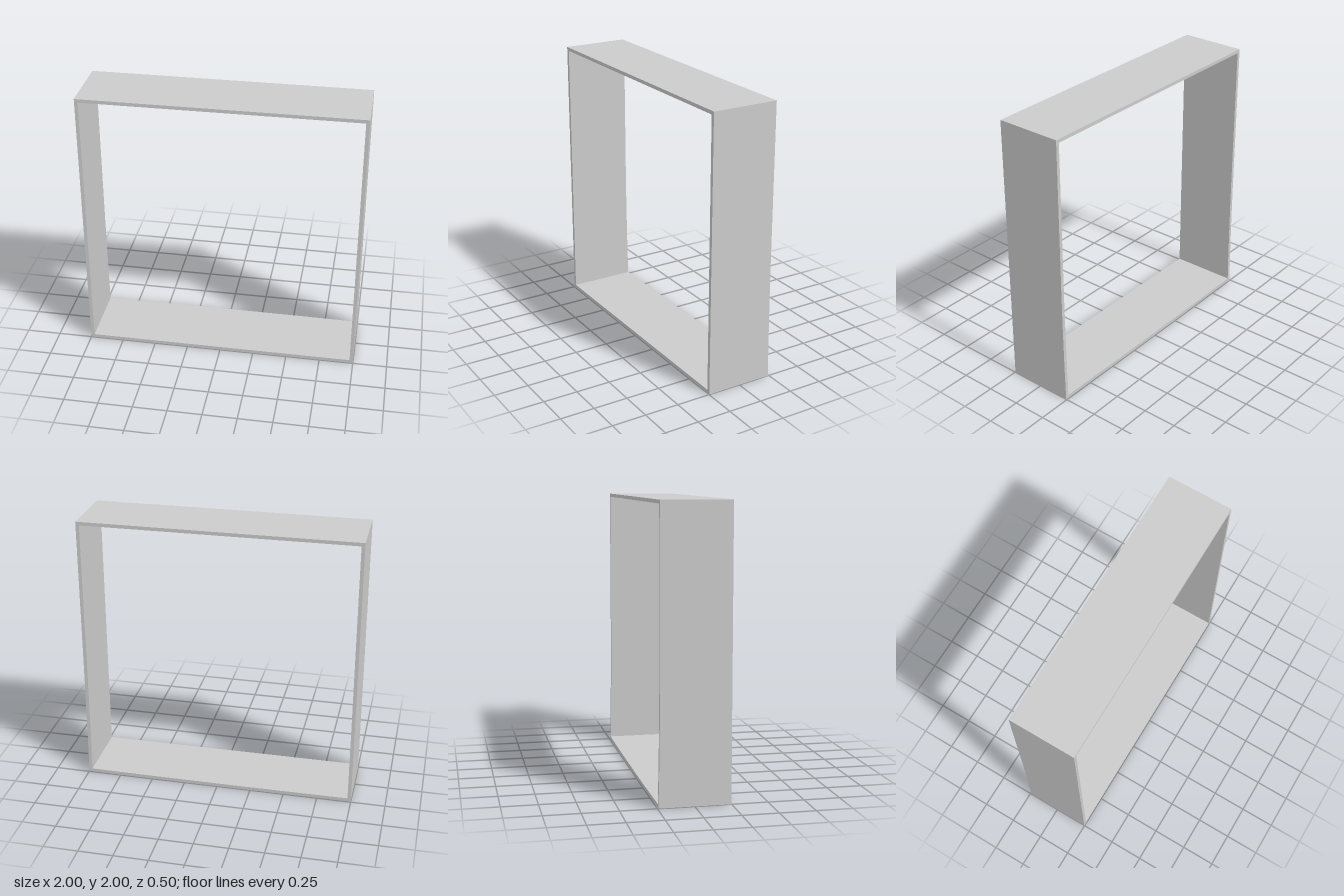
import * as THREE from 'three';

const T = 0.025;      // board thickness
const FRONT = 0.248;  // front plane

// Board with outline [z, u] or [x, z], extruded by the board thickness
function board(name, points, material) {
  const shape = new THREE.Shape(points.map(([a, b]) => new THREE.Vector2(a, b)));
  const geometry = new THREE.ExtrudeGeometry(shape, { depth: T, bevelEnabled: false });
  const mesh = new THREE.Mesh(geometry, material);
  mesh.name = name;
  return mesh;
}

export function createModel() {
  const group = new THREE.Group();
  group.name = 'squareFrame';
  const material = new THREE.MeshStandardMaterial({ color: 0xcccccc, flatShading: true });

  // Top board, straight along the back
  const top = new THREE.Mesh(new THREE.BoxGeometry(2, T, 0.48), material);
  top.name = 'topBoard';
  top.position.set(0, 2 - T / 2, FRONT - 0.24);
  group.add(top);

  // Bottom board, back edge bowed slightly outwards
  const bow = [[1, 0.243], [0.85, 0.2445], [0.54, 0.247], [0.2, 0.248]];
  const back = [...bow, ...bow.map(([x, z]) => [-x, z]).reverse()];
  const bottom = board('bottomBoard', [[-1, -FRONT], [1, -FRONT], ...back], material);
  bottom.rotation.x = -Math.PI / 2;
  group.add(bottom);

  // Side boards between top and bottom, back edge flaring towards the foot
  const side = [[-FRONT, T], [0.243, T], [0.238, 0.25], [0.234, 0.57],
    [0.232, 0.85], [0.232, 2 - T], [-FRONT, 2 - T]];
  for (const [name, x] of [['leftBoard', 1 - T], ['rightBoard', -1]]) {
    const mesh = board(name, side, material);
    mesh.rotation.y = Math.PI / 2;
    mesh.position.x = x;
    group.add(mesh);
  }
  return group;
}
